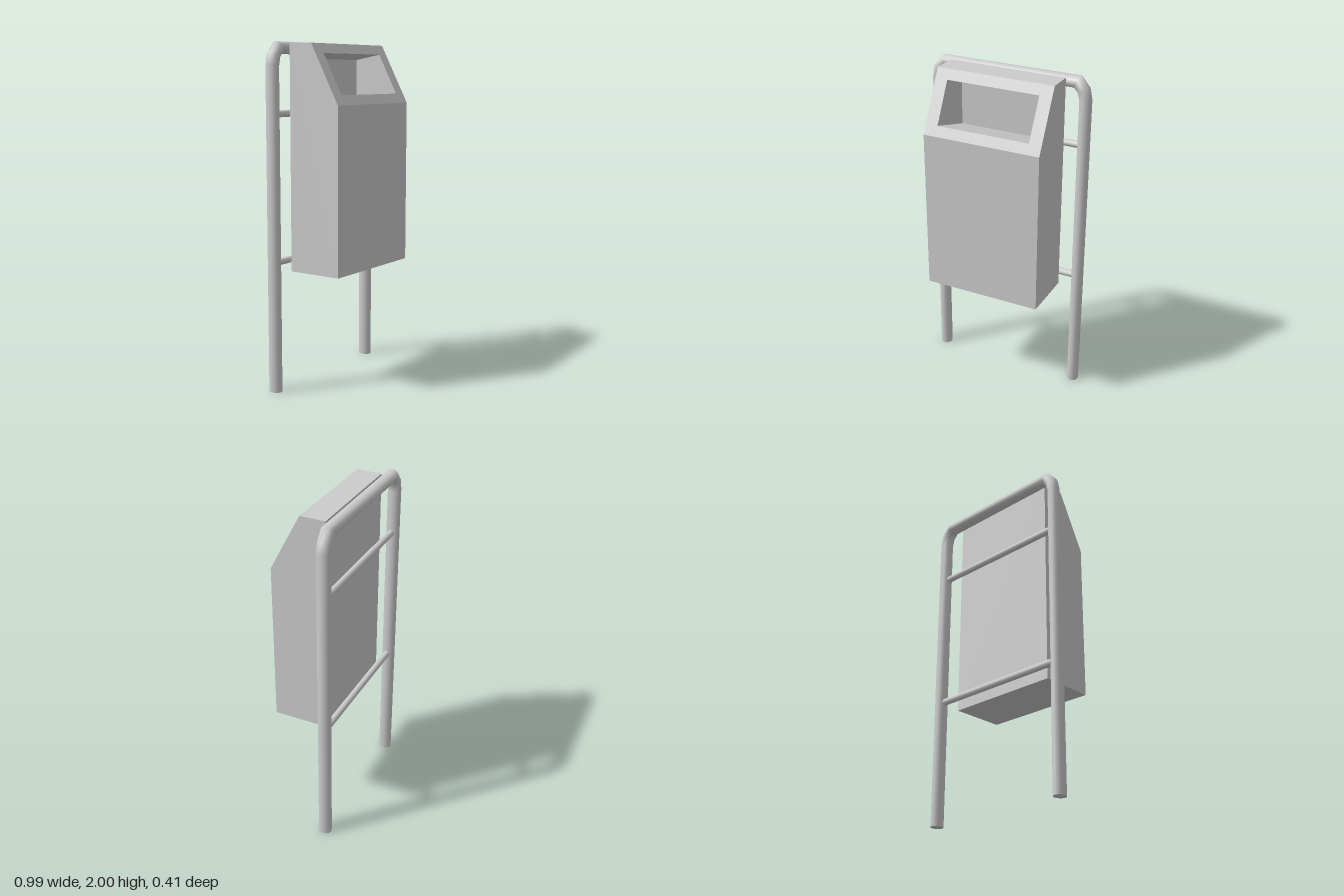
import * as THREE from 'three';

const material = new THREE.MeshStandardMaterial({ color: 0xcccccc });
const FRAME_Z = -0.165;

function addMesh(parent, name, geometry, mat = material) {
  const mesh = new THREE.Mesh(geometry, mat);
  mesh.name = name;
  parent.add(mesh);
  return mesh;
}

// Four corners, counter-clockwise from the front: bottom and top edge each have y and z.
function rect(halfWidth, yBottom, zBottom, yTop, zTop) {
  return [
    [-halfWidth, yBottom, zBottom], [halfWidth, yBottom, zBottom],
    [halfWidth, yTop, zTop], [-halfWidth, yTop, zTop],
  ];
}

// Flat-faced skin through a series of rectangles, closed at both ends.
function loftRects(rings) {
  const pos = [];
  const quad = (a, b, c, d) => [a, b, c, a, c, d].forEach((p) => pos.push(...p));
  quad(...[...rings[0]].reverse());
  for (let k = 0; k + 1 < rings.length; k++) {
    for (let i = 0; i < 4; i++) {
      const j = (i + 1) % 4;
      quad(rings[k][i], rings[k][j], rings[k + 1][j], rings[k + 1][i]);
    }
  }
  quad(...rings[rings.length - 1]);
  const geometry = new THREE.BufferGeometry();
  geometry.setAttribute('position', new THREE.Float32BufferAttribute(pos, 3));
  geometry.computeVertexNormals();
  return geometry;
}

// Smooth tube along a path in the xy plane, with mitred joints.
function mitredTube(path, radius, depthRadius, sides) {
  const pos = [];
  const index = [];
  path.forEach((p, k) => {
    const before = path[Math.max(k - 1, 0)];
    const after = path[Math.min(k + 1, path.length - 1)];
    const d0 = p.clone().sub(before).normalize();
    const d1 = after.clone().sub(p).normalize();
    const dir = d0.clone().add(d1).normalize();
    const miter = k > 0 && k < path.length - 1 ? 1 / dir.dot(d1) : 1;
    for (let i = 0; i < sides; i++) {
      const a = (i / sides) * Math.PI * 2;
      const r = Math.cos(a) * radius * miter;
      pos.push(p.x + dir.y * r, p.y - dir.x * r, Math.sin(a) * depthRadius);
      if (k > 0) {
        const n = (i + 1) % sides;
        const lo = (k - 1) * sides;
        const hi = k * sides;
        index.push(lo + i, hi + i, lo + n, lo + n, hi + i, hi + n);
      }
    }
  });
  const geometry = new THREE.BufferGeometry();
  geometry.setAttribute('position', new THREE.Float32BufferAttribute(pos, 3));
  geometry.setIndex(index);
  geometry.computeVertexNormals();
  return geometry;
}

export function createModel() {
  const model = new THREE.Group();
  model.name = 'litterBin';

  // Bin body: back, front panel, sloped face, opening and recess
  addMesh(model, 'binBody', loftRects([
    rect(0.355, 0.695, -0.125, 1.99, -0.125),
    rect(0.355, 0.695, 0.205, 1.99, 0.025),
    rect(0.355, 1.65, 0.205, 1.99, 0.025),
    rect(0.28, 1.705, 0.176, 1.935, 0.054),
    rect(0.28, 1.62, -0.11, 1.905, -0.11),
  ]));

  // Bent tube frame, mirrored from one half
  const half = [[0.46, 0], [0.46, 1.865], [0.448, 1.92], [0.41, 1.965]];
  const path = [
    ...half.map(([x, y]) => new THREE.Vector2(-x, y)),
    ...half.map(([x, y]) => new THREE.Vector2(x, y)).reverse(),
  ];
  const tubeMaterial = material.clone();
  tubeMaterial.side = THREE.DoubleSide;
  const tube = addMesh(model, 'tubeFrame', mitredTube(path, 0.035, 0.04, 12), tubeMaterial);
  tube.position.z = FRAME_Z;

  // Closed feet of the frame
  for (const side of [-1, 1]) {
    const foot = addMesh(model, 'footCap', new THREE.CircleGeometry(1, 12));
    foot.scale.set(0.035, 0.04, 1);
    foot.rotation.x = Math.PI / 2;
    foot.position.set(side * 0.46, 0, FRAME_Z);
  }

  // Cross bars between the posts
  for (const y of [0.757, 1.6]) {
    const bar = addMesh(model, 'crossBar', new THREE.CylinderGeometry(0.02, 0.02, 0.9, 12));
    bar.rotation.z = Math.PI / 2;
    bar.position.set(0, y, FRAME_Z);
  }

  return model;
}
